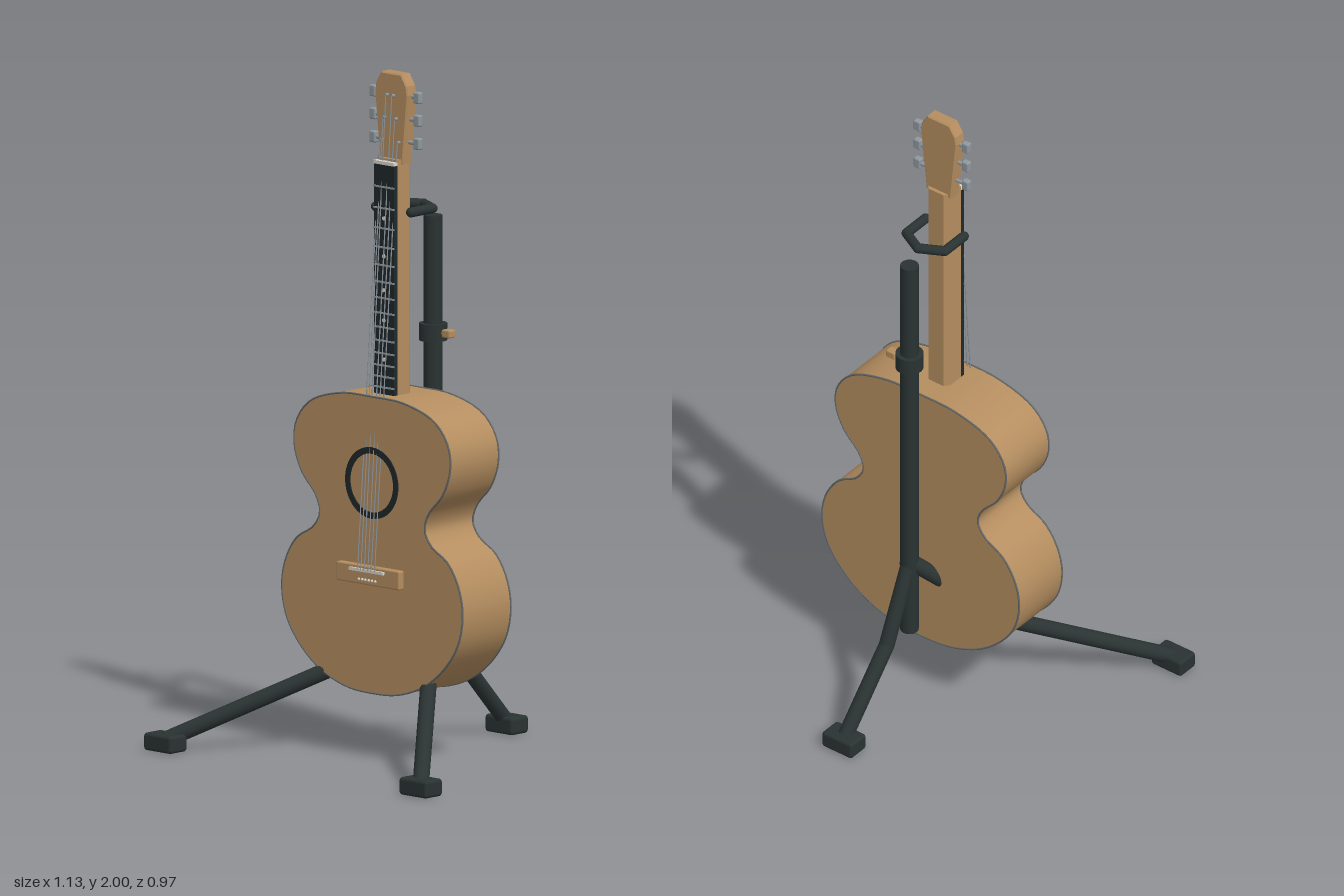
import * as THREE from 'three';
import { toCreasedNormals } from 'three/addons/utils/BufferGeometryUtils.js';
import { RoundedBoxGeometry } from 'three/addons/geometries/RoundedBoxGeometry.js';

const mat = (name, color) => new THREE.MeshStandardMaterial({ name, color });
const V = (x, y, z) => new THREE.Vector3(x, y, z);

export function createModel() {
  const wood = mat('wood', 0xb58e60);
  const black = mat('black', 0x2a3232);
  const ebony = mat('ebony', 0x20282a);
  const steel = mat('steel', 0x8f989e);
  const ivory = mat('ivory', 0xd9d6cc);
  const trim = mat('trim', 0x666a68);

  const root = new THREE.Group();
  const guitar = new THREE.Group();
  guitar.name = 'guitar';
  const stand = new THREE.Group();
  stand.name = 'stand';
  root.add(guitar, stand);

  const add = (parent, name, geo, material, x = 0, y = 0, z = 0) => {
    const m = new THREE.Mesh(geo, material);
    m.name = name;
    m.position.set(x, y, z);
    parent.add(m);
    return m;
  };
  // Straight rod between two points
  const rod = (parent, name, a, b, r, material, sides = 16) => {
    const m = add(parent, name, new THREE.CylinderGeometry(r, r, a.distanceTo(b), sides), material);
    m.position.copy(a).add(b).multiplyScalar(0.5);
    m.quaternion.setFromUnitVectors(V(0, 1, 0), b.clone().sub(a).normalize());
    return m;
  };
  // Chain of rods with ball joints
  const bentRod = (parent, name, points, r, material) => {
    const g = new THREE.Group();
    g.name = name;
    parent.add(g);
    points.forEach((p, i) => {
      add(g, name + 'Joint', new THREE.SphereGeometry(r, 16, 10), material, p.x, p.y, p.z);
      if (i) rod(g, name + 'Section', points[i - 1], p, r, material);
    });
  };

  // Body: mirrored half outline, extruded front to back
  const half = [[0, 1.06], [0.13, 1.055], [0.25, 1.015], [0.303, 0.95], [0.31, 0.88], [0.28, 0.805],
    [0.225, 0.745], [0.208, 0.695], [0.235, 0.65], [0.3, 0.61], [0.345, 0.54], [0.36, 0.46],
    [0.34, 0.37], [0.28, 0.29], [0.2, 0.232], [0.1, 0.197], [0, 0.19]];
  const mirrored = half.slice(1, -1).reverse().map(([x, y]) => [-x, y]);
  const outline = new THREE.CatmullRomCurve3([...half, ...mirrored].map(([x, y]) => V(x, y, 0)), true);
  const bodyShape = new THREE.Shape(outline.getPoints(120).slice(0, -1).map((p) => new THREE.Vector2(p.x, p.y)));
  const bodyGeo = new THREE.ExtrudeGeometry(bodyShape, { depth: 0.203, bevelEnabled: false });
  add(guitar, 'body', toCreasedNormals(bodyGeo, 0.7), wood, 0, 0, -0.089);
  for (const z of [-0.088, 0.113])
    add(guitar, 'binding', new THREE.TubeGeometry(outline, 120, 0.003, 6, true), trim, 0, 0, z);

  // Rosette around the sound hole
  const ring = new THREE.Shape().absarc(0, 0, 0.105, 0, Math.PI * 2);
  ring.holes.push(new THREE.Path().absarc(0, 0, 0.086, 0, Math.PI * 2, true));
  add(guitar, 'rosette', new THREE.ExtrudeGeometry(ring, { depth: 0.004, bevelEnabled: false, curveSegments: 32 }),
    ebony, 0, 0.807, 0.113);

  // Bridge, saddle and pins
  add(guitar, 'bridge', new RoundedBoxGeometry(0.25, 0.056, 0.024, 2, 0.005), wood, 0, 0.537, 0.122);
  add(guitar, 'saddle', new THREE.BoxGeometry(0.135, 0.009, 0.012), ivory, 0, 0.552, 0.135);
  for (let i = 0; i < 6; i++)
    add(guitar, 'bridgePin', new THREE.SphereGeometry(0.0045, 8, 6), ivory, (i - 2.5) * 0.013, 0.524, 0.135);

  // Neck with bevelled back edges
  const neck = new THREE.Shape();
  [[-0.04, 0.05], [-0.04, 0.0], [-0.027, -0.016], [0.027, -0.016], [0.04, 0.0], [0.04, 0.05]]
    .forEach(([x, z], i) => (i ? neck.lineTo(x, -z) : neck.moveTo(x, -z)));
  const neckGeo = new THREE.ExtrudeGeometry(neck, { depth: 0.71, bevelEnabled: false });
  neckGeo.rotateX(-Math.PI / 2);
  add(guitar, 'neck', neckGeo, wood, 0, 1.04, 0);
  add(guitar, 'fretboard', new THREE.BoxGeometry(0.08, 0.69, 0.014), ebony, 0, 1.39, 0.057);
  add(guitar, 'nut', new THREE.BoxGeometry(0.08, 0.01, 0.018), ivory, 0, 1.739, 0.058);

  // Frets and position dots
  const fretY = (n) => 1.735 - 1.18 * (1 - Math.pow(2, -n / 12));
  for (let n = 1; n <= 14; n++)
    add(guitar, 'fret', new THREE.BoxGeometry(0.08, 0.005, 0.005), steel, 0, fretY(n), 0.065);
  for (const n of [3, 5, 7, 9, 12]) {
    const dot = add(guitar, 'fretDot', new THREE.CylinderGeometry(0.006, 0.006, 0.003, 12), ivory,
      0, (fretY(n) + fretY(n - 1)) / 2, 0.065);
    dot.rotation.x = Math.PI / 2;
  }

  // Headstock
  const head = new THREE.Shape();
  [[-0.042, 1.74], [0.042, 1.74], [0.062, 1.94], [0.058, 1.965], [0.038, 1.996], [-0.038, 1.996],
    [-0.058, 1.965], [-0.062, 1.94]].forEach(([x, y], i) => (i ? head.lineTo(x, y) : head.moveTo(x, y)));
  add(guitar, 'headstock', new THREE.ExtrudeGeometry(head,
    { depth: 0.032, bevelThickness: 0.004, bevelSize: 0.004, bevelSegments: 1 }), wood, 0, 0, -0.001);

  // Tuners, posts and strings
  [1.8, 1.868, 1.935].forEach((y, i) => {
    for (const s of [-1, 1]) {
      rod(guitar, 'tunerShaft', V(s * 0.045, y, 0.014), V(s * 0.08, y, 0.014), 0.006, steel, 8);
      add(guitar, 'tunerKnob', new RoundedBoxGeometry(0.024, 0.034, 0.02, 2, 0.005), steel, s * 0.088, y, 0.014);
      const px = s * (0.034 - i * 0.011);
      rod(guitar, 'tunerPost', V(px, y, 0.03), V(px, y, 0.046), 0.005, steel, 8);
      rod(guitar, 'string', V(s * (0.034 - i * 0.0135), 0.552, 0.14), V(px, y, 0.045), 0.0018, steel, 6);
    }
  });

  // Stand pole, clamp and knob
  const pz = -0.141;
  rod(stand, 'pole', V(0, 0.245, pz), V(0, 1.56, pz), 0.027, black, 24);
  add(stand, 'clamp', new THREE.CylinderGeometry(0.041, 0.041, 0.05, 24), black, 0, 1.218, pz);
  rod(stand, 'knobShaft', V(0.03, 1.218, pz), V(0.05, 1.218, pz), 0.008, wood, 10);
  add(stand, 'clampKnob', new RoundedBoxGeometry(0.032, 0.024, 0.028, 2, 0.005), wood, 0.058, 1.218, pz - 0.004);

  // Yoke around the neck
  bentRod(stand, 'yoke', [V(-0.07, 1.598, 0.025), V(-0.07, 1.598, -0.065), V(0, 1.598, -0.102),
    V(0.07, 1.598, -0.065), V(0.07, 1.598, 0.025)], 0.0145, black);

  // Tripod legs and feet
  const foot = (x, z) => add(stand, 'foot', new RoundedBoxGeometry(0.11, 0.052, 0.073, 2, 0.01), black, x, 0.026, z);
  bentRod(stand, 'backLeg', [V(0, 0.49, pz), V(0, 0.25, -0.248), V(0, 0.035, -0.445)], 0.023, black);
  foot(0, -0.449);
  for (const s of [-1, 1]) {
    bentRod(stand, 'frontLeg', [V(0, 0.49, pz), V(s * 0.205, 0.226, 0.095), V(s * 0.505, 0.035, 0.44)], 0.024, black);
    foot(s * 0.509, 0.445);
  }
  return root;
}
